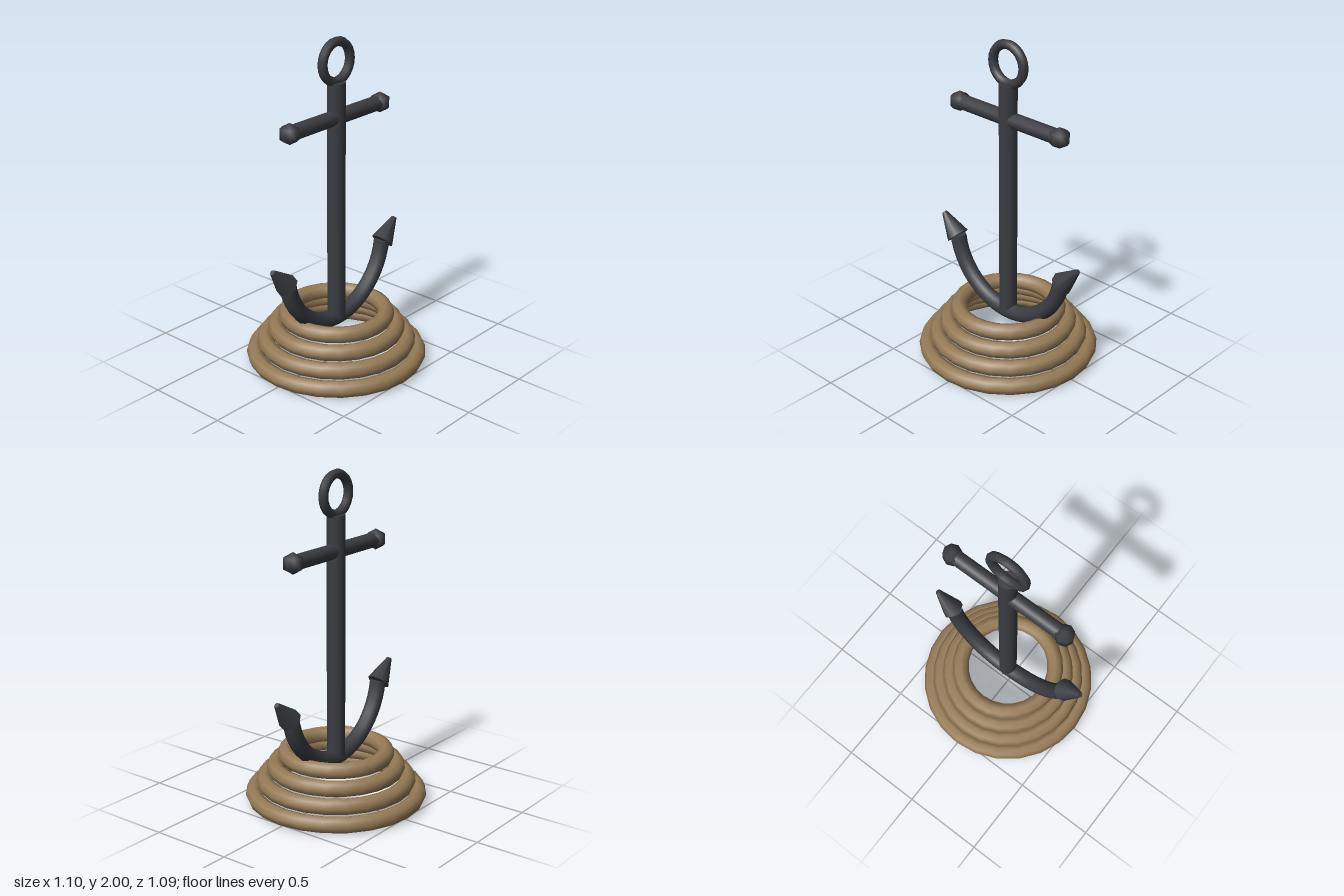
import * as THREE from 'three';

export function createModel() {
  const model = new THREE.Group();
  const iron = new THREE.MeshStandardMaterial({ color: 0x3a3c42 });
  const rope = new THREE.MeshStandardMaterial({ color: 0x967b56 });

  const add = (name, geometry, material, x = 0, y = 0, z = 0) => {
    const mesh = new THREE.Mesh(geometry, material);
    mesh.name = name;
    mesh.position.set(x, y, z);
    model.add(mesh);
    return mesh;
  };

  // Coiled rope: four stacked loops, narrowing upwards
  for (let i = 0; i < 4; i++) {
    const loop = new THREE.TorusGeometry(0.495 - i * 0.065, 0.05, 8, 24);
    add('ropeLoop' + (i + 1), loop, rope, 0, 0.05 + i * 0.083, 0).rotation.x = Math.PI / 2;
  }

  // Shank and the ring on top of it
  const shankBottom = 0.27, shankTop = 1.74;
  add('shank', new THREE.CylinderGeometry(0.055, 0.055, shankTop - shankBottom, 12),
    iron, 0, (shankTop + shankBottom) / 2, 0);
  add('ring', new THREE.TorusGeometry(0.115, 0.028, 8, 24), iron, 0, 1.857, 0);

  // Crossbar
  add('stock', new THREE.CylinderGeometry(0.045, 0.045, 0.77, 12), iron, 0, 1.53, 0)
    .rotation.z = Math.PI / 2;

  // Curved arms, one arc running under the shank
  const dip = 0.14;
  const arc = new THREE.TorusGeometry(0.424, 0.05, 10, 24, Math.PI - 2 * dip);
  add('arms', arc, iron, 0, 0.694, 0).rotation.z = Math.PI + dip;

  // End caps, crossbar knobs and flukes on both sides
  for (const s of [1, -1]) {
    const side = s > 0 ? 'left' : 'right';
    add(side + 'Knob', new THREE.SphereGeometry(0.064, 8, 3), iron, s * 0.385, 1.53, 0);

    const cap = add(side + 'ArmEnd', new THREE.CircleGeometry(0.05, 10), iron,
      s * 0.424 * Math.cos(dip), 0.694 - 0.424 * Math.sin(dip), 0);
    cap.rotation.set(-Math.PI / 2, -s * dip, 0);

    // Fluke: blunt cone leaning outwards
    const fluke = add(side + 'Fluke', new THREE.CylinderGeometry(0.016, 0.07, 0.168, 8),
      iron, s * 0.4825, 0.6865, 0);
    fluke.rotation.z = -s * 0.75;
  }
  return model;
}
